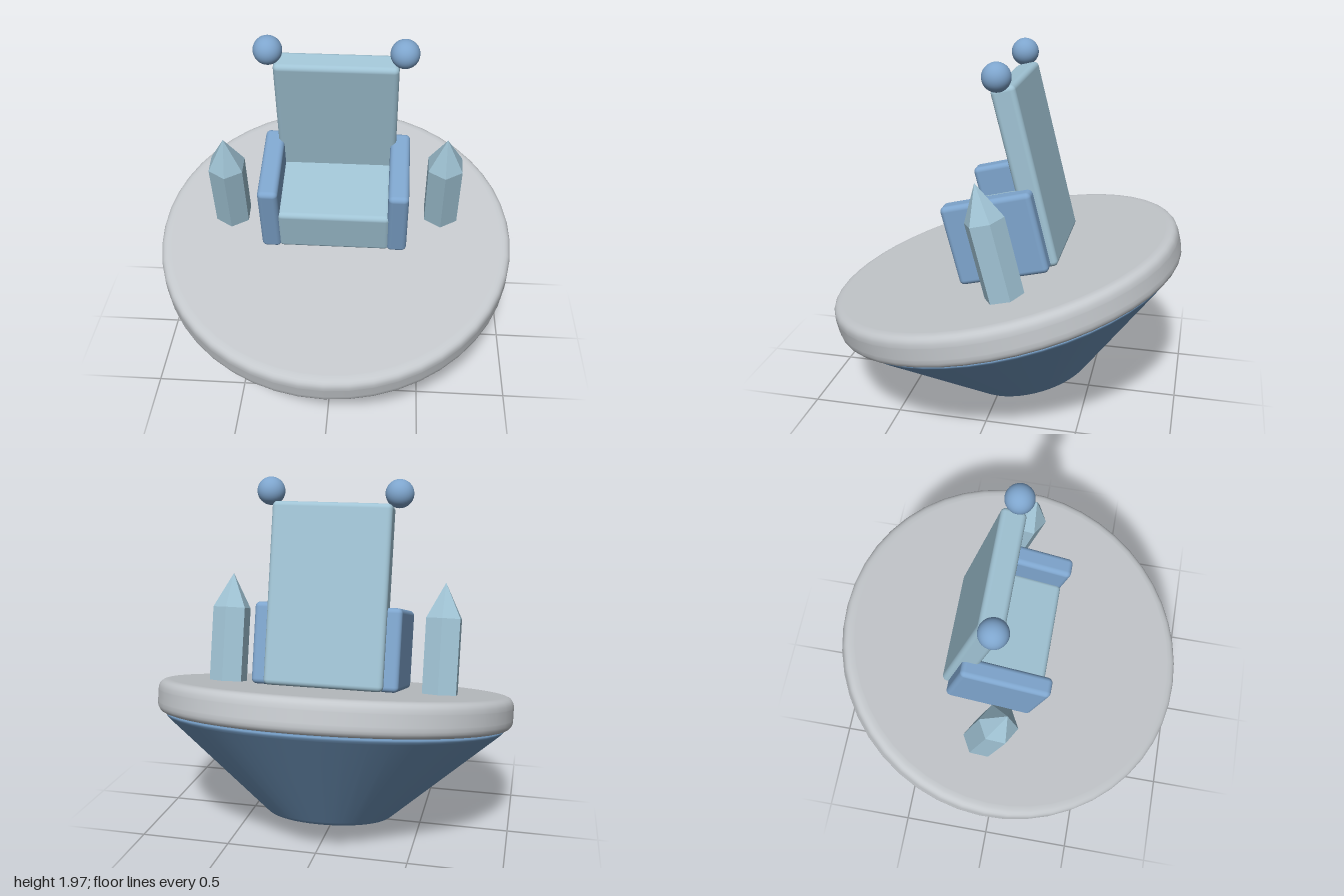
import * as THREE from 'three';
import { RoundedBoxGeometry } from 'three/addons/geometries/RoundedBoxGeometry.js';

const paint = (name, color) => {
  const m = new THREE.MeshStandardMaterial({ color });
  m.name = name;
  return m;
};

// Lathe of a bottom-to-top outline [x, y, rounding] with softened corners
function roundedLathe(corners, segments) {
  const pts = [];
  const v = corners.map(([x, y]) => new THREE.Vector2(x, y));
  v.forEach((p, i) => {
    const d = corners[i][2];
    if (!d) { pts.push(p); return; }
    const back = v[i - 1].clone().sub(p).normalize();
    const ahead = v[i + 1].clone().sub(p).normalize();
    const start = p.clone().addScaledVector(back, d);
    const end = p.clone().addScaledVector(ahead, d);
    // guard points keep the neighbouring flat faces evenly shaded
    pts.push(p.clone().addScaledVector(back, d + 0.004));
    pts.push(...new THREE.QuadraticBezierCurve(start, p, end).getPoints(6));
    pts.push(p.clone().addScaledVector(ahead, d + 0.004));
  });
  return new THREE.LatheGeometry(pts, segments);
}

export function createModel() {
  const stone = paint('paleGrey', 0xc4c8cc);
  const ice = paint('iceBlue', 0xa0c3d4);
  const blue = paint('softBlue', 0x7ea5cd);
  const deep = paint('steelBlue', 0x7299c0);

  const model = new THREE.Group();
  model.name = 'hoveringThrone';

  // Everything leans forward together; origin is the platform centre
  const tilted = new THREE.Group();
  tilted.name = 'tiltedThrone';
  tilted.position.y = 0.706;
  tilted.rotation.x = 0.25;
  model.add(tilted);

  const add = (name, geometry, material, x = 0, y = 0, z = 0) => {
    const mesh = new THREE.Mesh(geometry, material);
    mesh.name = name;
    mesh.position.set(x, y, z);
    tilted.add(mesh);
    return mesh;
  };
  // Rounded box given by its x, y and z ranges
  const block = (name, material, [x0, x1], [y0, y1], [z0, z1]) =>
    add(name, new RoundedBoxGeometry(x1 - x0, y1 - y0, z1 - z0, 4, 0.028), material,
      (x0 + x1) / 2, (y0 + y1) / 2, (z0 + z1) / 2);

  // Platform and tapering base
  add('platform', roundedLathe([[0, -0.09], [1, -0.09, 0.055], [1, 0.09, 0.055], [0, 0.09]], 48), stone);
  add('base', roundedLathe([[0, -0.645], [0.335, -0.645, 0.03], [0.97, -0.091, 0.04], [0, -0.091]], 48), deep);

  // Seat and backrest
  block('seat', ice, [-0.31, 0.31], [0.095, 0.37], [-0.34, 0.137]);
  block('backrest', ice, [-0.327, 0.327], [0.095, 1.085], [-0.392, -0.26]);

  // Armrests, finials and crystals on both sides
  for (const [side, s, crystalZ] of [['left', 1, -0.155], ['right', -1, -0.1]]) {
    block(side + 'Armrest', blue, [s * 0.35 - 0.055, s * 0.35 + 0.055], [0.095, 0.542], [-0.355, 0.143]);
    add(side + 'Finial', new THREE.SphereGeometry(0.076, 32, 20), blue, s * 0.352, 1.144, -0.324);

    const faceted = (g) => {
      const flat = g.toNonIndexed();
      flat.computeVertexNormals();
      return flat;
    };
    add(side + 'CrystalShaft', faceted(new THREE.CylinderGeometry(0.107, 0.107, 0.42, 6)), ice,
      s * 0.6, 0.295, crystalZ);
    add(side + 'CrystalTip', faceted(new THREE.ConeGeometry(0.107, 0.195, 6)), ice,
      s * 0.6, 0.6025, crystalZ);
  }
  return model;
}
